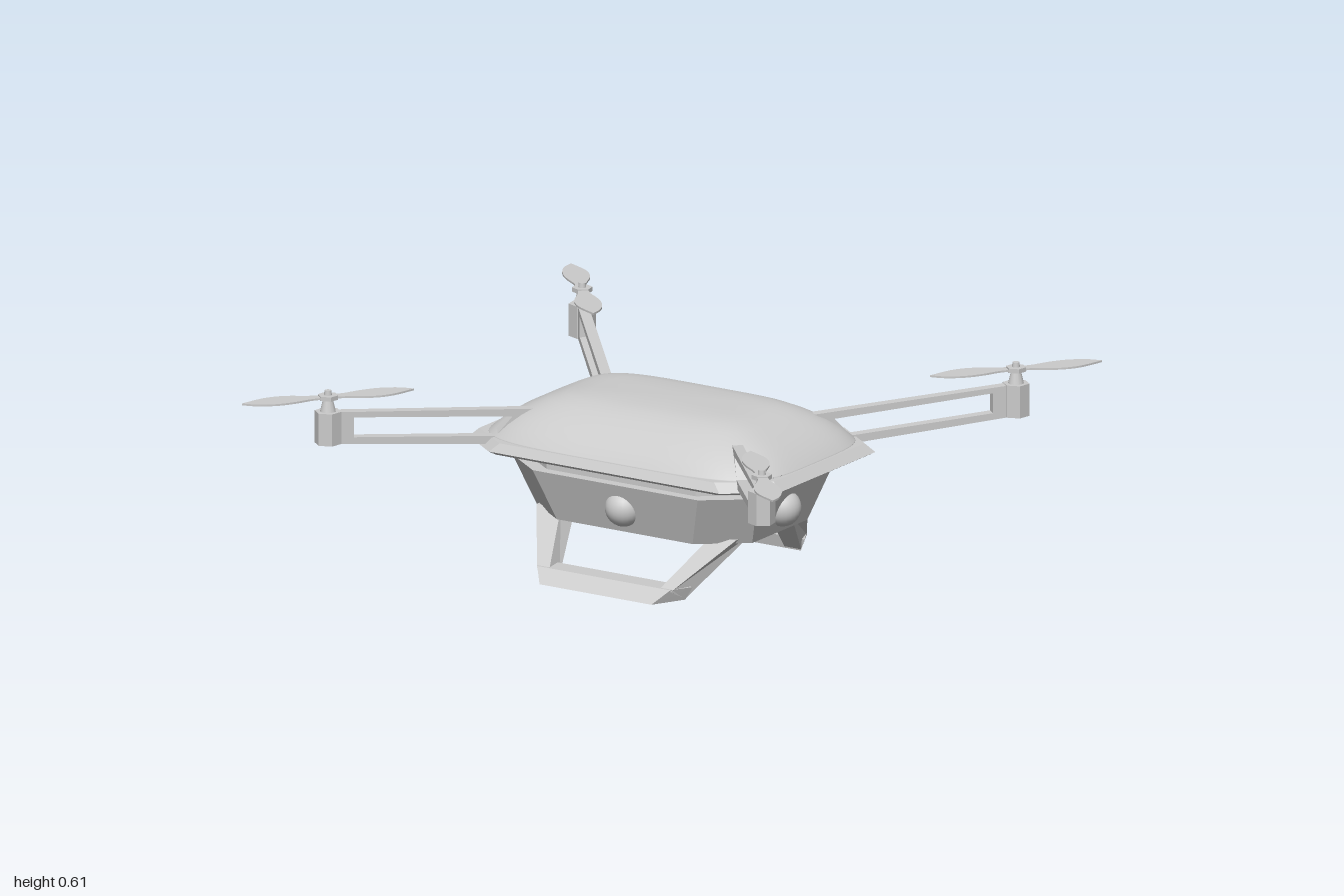
import * as THREE from 'three';

const material = new THREE.MeshStandardMaterial({ color: 0xcccccc });
const flatMaterial = new THREE.MeshStandardMaterial({ color: 0xcccccc, flatShading: true });

function add(parent, name, geometry, mat = flatMaterial) {
  const mesh = new THREE.Mesh(geometry, mat);
  mesh.name = name;
  parent.add(mesh);
  return mesh;
}

// Skin closed rings of [x, y, z] points (counter-clockwise seen from the last ring) and cap both ends
function loft(rings, smooth = false) {
  const n = rings[0].length, last = (rings.length - 1) * n;
  const centre = (ring) => [0, 1, 2].map((k) => ring.reduce((s, p) => s + p[k], 0) / n);
  const points = [...rings.flat(), centre(rings[0]), centre(rings[rings.length - 1])];
  const bottom = rings.length * n, index = [];
  for (let j = 0; j < n; j++) {
    const k = (j + 1) % n;
    for (let r = 0; r < last; r += n) {
      index.push(r + j, r + k, r + n + k, r + j, r + n + k, r + n + j);
    }
    index.push(bottom, k, j, bottom + 1, last + j, last + k);
  }
  let geometry = new THREE.BufferGeometry();
  geometry.setAttribute('position', new THREE.Float32BufferAttribute(points.flat(), 3));
  geometry.setIndex(index);
  if (!smooth) geometry = geometry.toNonIndexed();
  geometry.computeVertexNormals();
  return geometry;
}

// Rectangle with cut corners
function octagon([hx, hz, y]) {
  const cx = hx - 0.15, cz = hz - 0.113;
  return [[hx, cz], [hx, -cz], [cx, -hz], [-cx, -hz], [-hx, -cz], [-hx, cz], [-cx, hz], [cx, hz]]
    .map(([x, z]) => [x, y, z]);
}

// Rounded rectangle
function pillow([hx, hz, y]) {
  const e = 2 / 4.4, bend = (v) => Math.sign(v) * Math.abs(v) ** e;
  return Array.from({ length: 64 }, (_, i) => {
    const a = (i + 0.5) / 64 * Math.PI * 2;
    return [hx * bend(Math.cos(a)), y, -hz * bend(Math.sin(a))];
  });
}

function buildBody(group) {
  const body = new THREE.Group();
  body.name = 'body';
  group.add(body);
  add(body, 'lowerHull', loft([[0.405, 0.27, 0.165], [0.46, 0.325, 0.33]].map(octagon)));
  add(body, 'neck', loft([[0.43, 0.29, 0.32], [0.43, 0.29, 0.38]].map(octagon)));
  add(body, 'shellRim', loft([
    [0.44, 0.3, 0.367], [0.565, 0.375, 0.376], [0.583, 0.388, 0.386], [0.553, 0.372, 0.414],
  ].map(octagon)));
  add(body, 'topShell', loft([
    [0.555, 0.375, 0.4], [0.545, 0.367, 0.417], [0.505, 0.334, 0.452], [0.465, 0.3, 0.479], [0.425, 0.268, 0.499],
    [0.38, 0.225, 0.52], [0.33, 0.18, 0.535], [0.26, 0.13, 0.543], [0.12, 0.06, 0.546],
  ].map(pillow), true), material);

  // One round sensor on each side of the hull
  for (const [x, z] of [[0.415, 0], [-0.415, 0], [0, 0.275], [0, -0.275]]) {
    add(body, 'sensor', new THREE.SphereGeometry(0.06, 24, 16), material).position.set(x, 0.245, z);
  }
}

// Trapezoid landing frame: two slanted struts and a ground bar
function buildLandingFrame() {
  const frame = new THREE.Group();
  frame.name = 'landingFrame';
  const barEnd = (s) => [
    [s * 0.21, 0, 0.437], [s * 0.267, 0, 0.33], [s * 0.288, 0.042, 0.32], [s * 0.25, 0.042, 0.39],
  ];
  add(frame, 'groundBar', loft([barEnd(-1), barEnd(1)]));
  const strut = loft([
    [[0.25, 0.035, 0.39], [0.268, 0.004, 0.33], [0.205, 0.004, 0.33], [0.205, 0.035, 0.39]],
    [[0.375, 0.18, 0.205], [0.375, 0.18, 0.115], [0.283, 0.18, 0.115], [0.283, 0.18, 0.205]],
  ]);
  add(frame, 'strut', strut);
  add(frame, 'strut', strut).scale.x = -1;
  return frame;
}

// Arm along local +x, with its root at the origin
function buildArm() {
  const arm = new THREE.Group();
  const reach = 0.67, width = 0.034;
  const toPoints = (list) => list.map(([x, y]) => new THREE.Vector2(x, y));
  const side = new THREE.Shape(toPoints([[0.13, 0.392], [reach, 0.437], [reach, 0.54], [0, 0.496]]));
  side.holes.push(new THREE.Path(toPoints([[0.07, 0.477], [0.59, 0.517], [0.59, 0.452], [0.125, 0.418]])));
  const beam = new THREE.ExtrudeGeometry(side, { depth: width, bevelEnabled: false });
  add(arm, 'armBeam', beam.translate(0, 0, -width / 2));

  const rotor = new THREE.Group();
  rotor.name = 'rotor';
  rotor.position.x = reach;
  arm.add(rotor);
  add(rotor, 'motorHousing', new THREE.CylinderGeometry(0.043, 0.043, 0.105, 6)).position.y = 0.4875;
  add(rotor, 'motorShaft', new THREE.CylinderGeometry(0.014, 0.026, 0.05, 12), material).position.y = 0.562;
  add(rotor, 'rotorHub', new THREE.CylinderGeometry(0.033, 0.033, 0.014, 6)).position.y = 0.586;
  add(rotor, 'rotorCap', new THREE.CylinderGeometry(0.011, 0.014, 0.026, 12), material).position.y = 0.595;

  // Leaf-shaped blades
  const outline = new THREE.Shape();
  outline.moveTo(0.015, -0.016);
  outline.splineThru(toPoints([[0.06, -0.02], [0.13, -0.04], [0.2, -0.035], [0.283, 0.003]]));
  outline.splineThru(toPoints([[0.24, 0.03], [0.18, 0.042], [0.12, 0.036], [0.06, 0.02], [0.015, 0.016]]));
  const blade = new THREE.ExtrudeGeometry(outline, { depth: 0.006, bevelEnabled: false, curveSegments: 5 });
  blade.rotateX(-Math.PI / 2);
  for (const turn of [0, Math.PI]) {
    const mesh = add(rotor, 'rotorBlade', blade);
    mesh.position.y = 0.583;
    mesh.rotation.y = turn;
  }
  return arm;
}

export function createModel() {
  const group = new THREE.Group();
  group.name = 'quadcopter';
  buildBody(group);

  for (const turn of [0, Math.PI]) {
    const frame = buildLandingFrame();
    frame.rotation.y = turn;
    group.add(frame);
  }

  for (const sx of [1, -1]) {
    for (const sz of [1, -1]) {
      const arm = buildArm();
      arm.name = (sz > 0 ? 'front' : 'back') + (sx > 0 ? 'Left' : 'Right') + 'Arm';
      arm.position.set(sx * 0.385, 0, sz * 0.212);
      arm.rotation.y = Math.atan2(-sz * 0.514, sx * 0.43);
      group.add(arm);
    }
  }
  return group;
}
